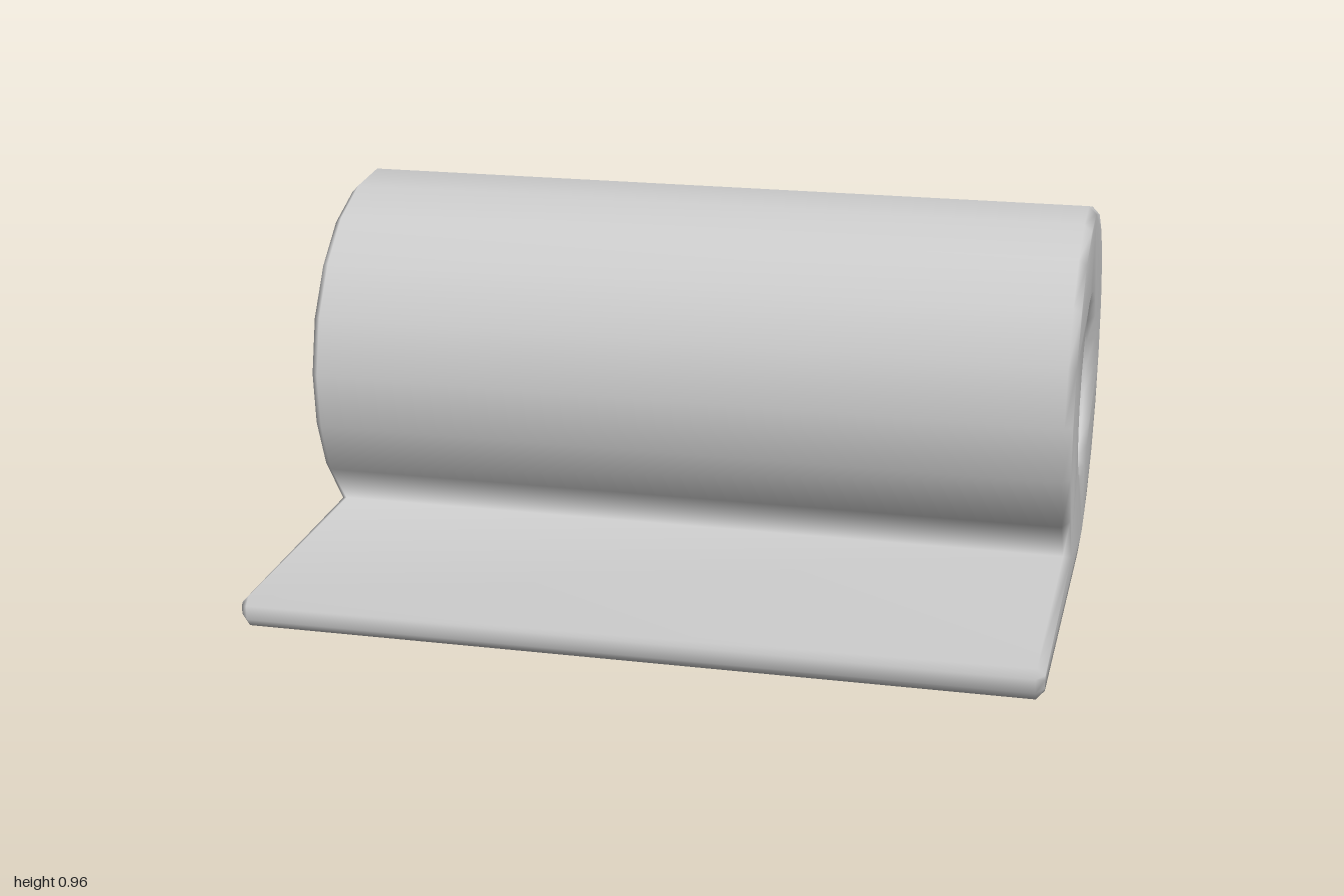
import * as THREE from 'three';
import { mergeVertices } from 'three/addons/utils/BufferGeometryUtils.js';

const LENGTH = 2, BEVEL = 0.02;
const CENTER = { z: -0.27, y: 0.485 };

// Side profile as [z, y]: barrel rim, then the flat leaf running to the front
const PROFILE = [
  [0.036, 0.115], [0.141, 0.235], [0.197, 0.375], [0.209, 0.52], [0.173, 0.669],
  [0.092, 0.797], [-0.02, 0.894], [-0.16, 0.95], [-0.309, 0.963], [-0.458, 0.926],
  [-0.586, 0.845], [-0.683, 0.733], [-0.739, 0.596], [-0.748, 0.444], [-0.715, 0.303],
  [-0.635, 0.171], [-0.518, 0.078], [-0.381, 0.018], [-0.233, 0.003],
  [0.733, 0.028], [0.75, 0.05], [0.75, 0.086], [0.731, 0.106],
];

export function createModel() {
  const group = new THREE.Group();
  group.name = 'hingeLeaf';

  const shape = new THREE.Shape(PROFILE.map(([z, y]) => new THREE.Vector2(z, y)));

  // Pin bore through the barrel
  const bore = [];
  const sides = 20;
  for (let i = 0; i < sides; i++) {
    const a = ((i + 0.25) / sides) * Math.PI * 2;
    bore.push(new THREE.Vector2(CENTER.z + 0.231 * Math.cos(a), CENTER.y + 0.231 * Math.sin(a)));
  }
  shape.holes.push(new THREE.Path(bore));

  // Extrude along x with a small chamfer cut inside the profile
  let geometry = new THREE.ExtrudeGeometry(shape, {
    depth: LENGTH - 2 * BEVEL,
    bevelThickness: BEVEL,
    bevelSize: BEVEL,
    bevelOffset: -BEVEL,
    bevelSegments: 1,
  });
  geometry.translate(0, 0, BEVEL - LENGTH / 2);
  geometry.rotateY(-Math.PI / 2);

  // Area-weighted smooth normals: flat ends stay flat, chamfers look soft
  geometry.deleteAttribute('uv');
  geometry.deleteAttribute('normal');
  geometry = mergeVertices(geometry, 1e-4);
  geometry.computeVertexNormals();

  const mesh = new THREE.Mesh(geometry, new THREE.MeshStandardMaterial({ color: 0xcccccc }));
  mesh.name = 'barrelAndLeaf';
  group.add(mesh);
  return group;
}
